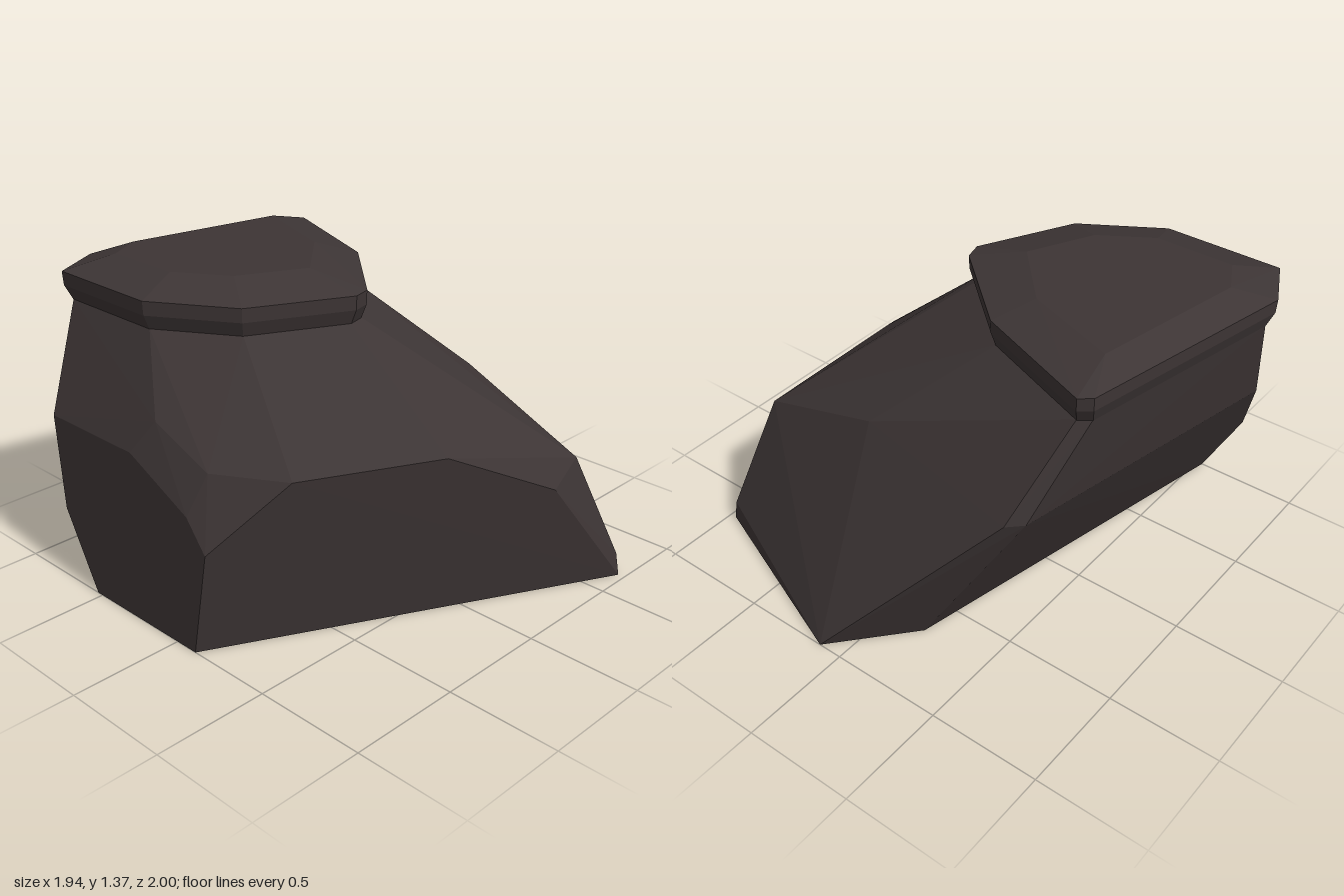
import * as THREE from 'three';
import { ConvexGeometry } from 'three/addons/geometries/ConvexGeometry.js';

const V = (x, y, z) => new THREE.Vector3(x, y, z);

// Plan outline (x, z) of the cap rim
const rim = [[-0.77, -0.38], [-0.72, -0.42], [-0.17, -0.21], [0.2, 0.12], [0.22, 0.2],
  [0.01, 0.61], [-0.33, 0.82], [-0.86, 0.82], [-0.97, 0.6]];
// Plan outline of the flat top of the cap
const crown = [[-0.69, -0.2], [-0.27, -0.05], [-0.03, 0.21], [-0.17, 0.49],
  [-0.39, 0.63], [-0.74, 0.63], [-0.82, 0.48]];

// Outline placed at height y, scaled about the cap centre
const ring = (outline, y, s = 1) =>
  outline.map(([x, z]) => V(-0.38 + (x + 0.38) * s, y, 0.22 + (z - 0.22) * s));

export function createModel() {
  const group = new THREE.Group();
  group.name = 'rock';
  const stone = new THREE.MeshStandardMaterial({ color: 0x3d3535 });
  stone.name = 'dark stone';

  const addRock = (name, points) => {
    const mesh = new THREE.Mesh(new ConvexGeometry(points), stone);
    mesh.name = name;
    group.add(mesh);
  };

  // Leaning faceted boulder
  addRock('boulder', [
    // base
    V(-0.53, 0, 1), V(0.11, 0, 1), V(0.97, 0, -0.66), V(0.11, 0, -1), V(-0.18, 0, -0.67),
    // front face
    V(0.2, 0.47, 1), V(0.1, 0.6, 1), V(-0.23, 0.76, 1), V(-0.74, 0.76, 1), V(-0.71, 0.34, 1),
    // front shoulder chamfers
    V(-0.14, 0.9, 0.935), V(0.14, 0.77, 0.92),
    // left side
    V(0.41, 0.76, 0.74), V(0.69, 0.76, 0.18), V(0.66, 0.79, 0.1), V(0.875, 0.52, -0.28),
    V(0.85, 0.6, -0.45), V(0.95, 0.1, -0.66),
    // back and right side
    V(0.22, 0.82, -0.51), V(-0.56, 0.76, -0.63), V(-0.62, 0.76, -0.57), V(-0.88, 0.76, 0.72),
    // neck under the cap
    ...ring(rim, 1.19, 0.95),
  ]);

  // Overhanging bevelled cap slab
  addRock('cap', [
    ...ring(rim, 1.185, 0.95), ...ring(rim, 1.25, 0.995), ...ring(rim, 1.31), ...ring(crown, 1.37),
  ]);

  return group;
}
